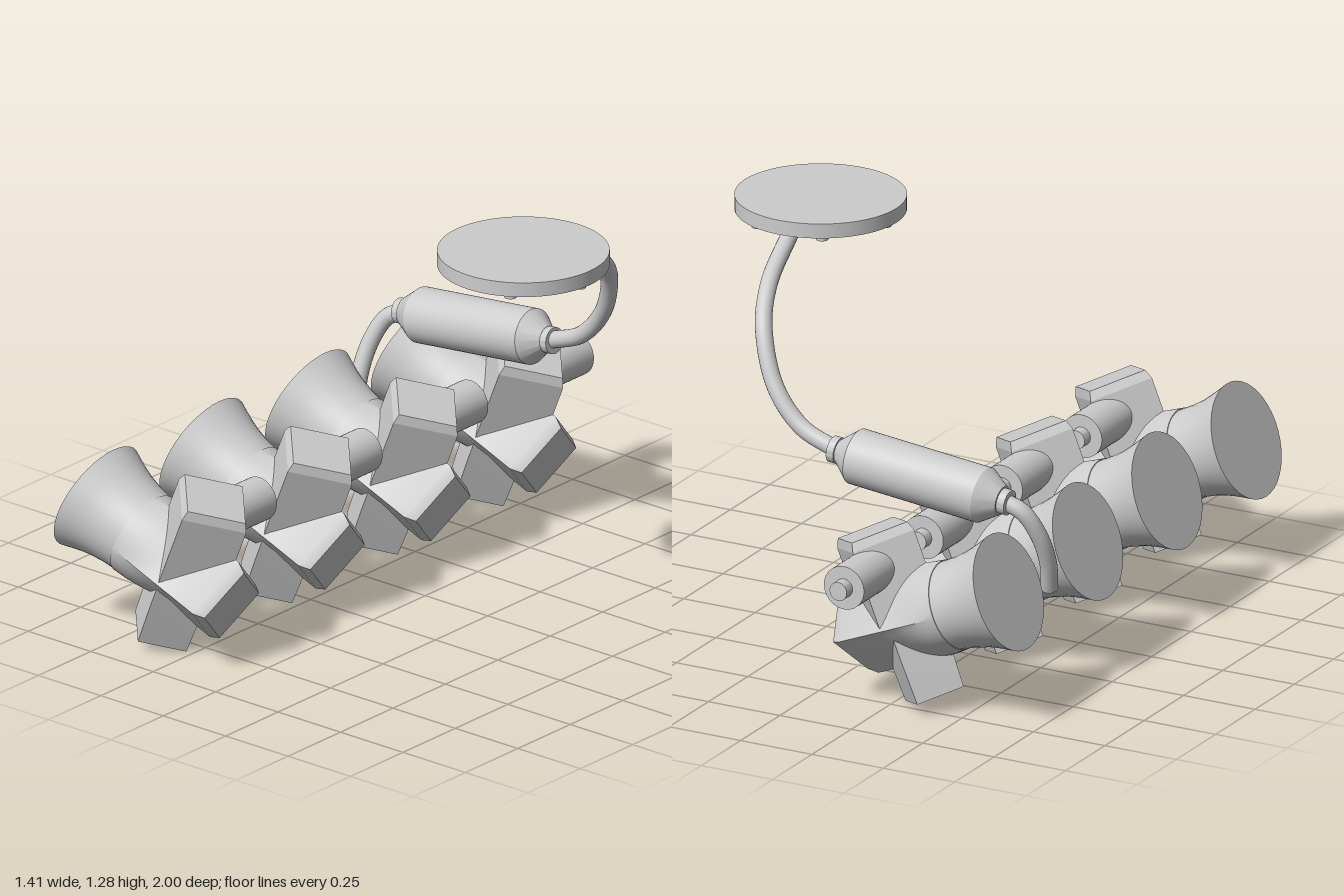
import * as THREE from 'three';
import { toCreasedNormals } from 'three/addons/utils/BufferGeometryUtils.js';

const metal = new THREE.MeshStandardMaterial({ color: 0xcccccc });
metal.name = 'light grey metal';

function add(parent, name, geometry, x = 0, y = 0, z = 0) {
  const mesh = new THREE.Mesh(geometry, metal);
  mesh.name = name;
  mesh.position.set(x, y, z);
  parent.add(mesh);
  return mesh;
}

// Turned solid from [height, radius] pairs, bottom to top; 4 sides give a diamond section
function turned(profile, sides = 40, crease = 0.45) {
  const points = profile.map(([h, r]) => new THREE.Vector2(r, h));
  return toCreasedNormals(new THREE.LatheGeometry(points, sides), crease);
}

// Body that changes from a round neck to a square section standing on its corner
function bodyGeometry() {
  const rings = [[0.2, 0], [0.2, 0.142], [0.25, 0.149], [0.3, 0.151], [0.35, 0.151],
    [0.42, 0.151], [0.552, 0.151], [0.585, 0.13], [0.585, 0]];
  const geometry = new THREE.LatheGeometry(rings.map(([h, r]) => new THREE.Vector2(r, h)), 48);
  const p = geometry.attributes.position;
  for (let i = 0; i < p.count; i++) {
    const x = p.getX(i), z = p.getZ(i), r = Math.hypot(x, z);
    if (r < 1e-6) continue;
    const blend = THREE.MathUtils.clamp((p.getY(i) - 0.2) / 0.22, 0, 1);
    const scale = 1 + blend * (r / (Math.abs(x) + Math.abs(z)) - 1);
    p.setX(i, x * scale);
    p.setZ(i, z * scale);
  }
  return toCreasedNormals(geometry, 0.45).rotateZ(-Math.PI / 2);
}

// Tube with closed ends along a smooth path
function tube(parent, name, coords, radius) {
  const curve = new THREE.CatmullRomCurve3(coords.map((c) => new THREE.Vector3(...c)));
  add(parent, name, new THREE.TubeGeometry(curve, 48, radius, 20));
  for (const [t, sign] of [[0, -1], [1, 1]]) {
    const cap = add(parent, name + 'End', new THREE.CircleGeometry(radius, 20));
    cap.position.copy(curve.getPointAt(t));
    cap.quaternion.setFromUnitVectors(new THREE.Vector3(0, 0, 1),
      curve.getTangentAt(t).multiplyScalar(sign));
  }
}

export function createModel() {
  const model = new THREE.Group();
  model.name = 'valveRow';

  // Shared shapes of the valve units; local x runs along the horn axis
  const horn = turned([[0, 0], [0, 0.186], [0.03, 0.175], [0.065, 0.163], [0.1, 0.153],
    [0.15, 0.144], [0.215, 0.138], [0.215, 0]]).rotateZ(-Math.PI / 2);
  const body = bodyGeometry();
  const upperBlock = turned([[0, 0], [0, 0.145], [0.258, 0.145], [0.287, 0.131], [0.287, 0]], 4, 0.1);
  const lowerBlock = turned([[-0.255, 0], [-0.255, 0.11], [-0.1, 0.116], [0, 0.116], [0, 0]], 4, 0.1);
  const sideStub = turned([[0, 0], [0, 0.07], [0.265, 0.07], [0.265, 0.03], [0.302, 0.03], [0.302, 0]])
    .rotateX(-Math.PI / 2);

  // Four equal units in a row
  for (let i = 0; i < 4; i++) {
    const unit = new THREE.Group();
    unit.name = 'valveUnit' + (i + 1);
    unit.position.set(-0.635, 0.423, 0.812 - 0.504 * i);
    unit.rotation.z = -0.385;
    add(unit, 'horn', horn);
    add(unit, 'body', body);
    add(unit, 'upperBlock', upperBlock, 0.397, 0, 0);
    add(unit, 'lowerBlock', lowerBlock, 0.382, 0, 0);
    add(unit, 'sideStub', sideStub, 0.39, 0.182, 0);
    model.add(unit);
  }

  // Canister with conical ends and collars
  const canister = add(model, 'canister', turned([[-0.314, 0], [-0.314, 0.04], [-0.288, 0.04],
    [-0.288, 0.046], [-0.2245, 0.088], [0.2245, 0.088], [0.285, 0.036], [0.285, 0.042],
    [0.31, 0.042], [0.31, 0]]).rotateZ(-Math.PI / 2), -0.2285, 0.6715, -0.521);
  canister.rotation.z = 0.105;

  // Pipes on both ends of the canister
  tube(model, 'lowerPipe', [[-0.52, 0.641, -0.521], [-0.58, 0.61, -0.508], [-0.618, 0.53, -0.475],
    [-0.628, 0.43, -0.435], [-0.615, 0.335, -0.402]], 0.027);
  tube(model, 'upperPipe', [[0.06, 0.701, -0.521], [0.19, 0.755, -0.518], [0.29, 0.865, -0.503],
    [0.362, 1.025, -0.445], [0.402, 1.125, -0.34], [0.438, 1.222, -0.135]], 0.027);

  // Round plate with six studs underneath
  const [cx, cz] = [0.437, 0.053];
  add(model, 'plate', new THREE.CylinderGeometry(0.265, 0.265, 0.047, 64), cx, 1.262, cz);
  for (let i = 0; i < 6; i++) {
    const a = (i * Math.PI) / 3;
    add(model, 'stud', new THREE.CylinderGeometry(0.019, 0.019, 0.03, 16),
      cx + 0.226 * Math.cos(a), 1.236, cz + 0.226 * Math.sin(a));
  }
  return model;
}
